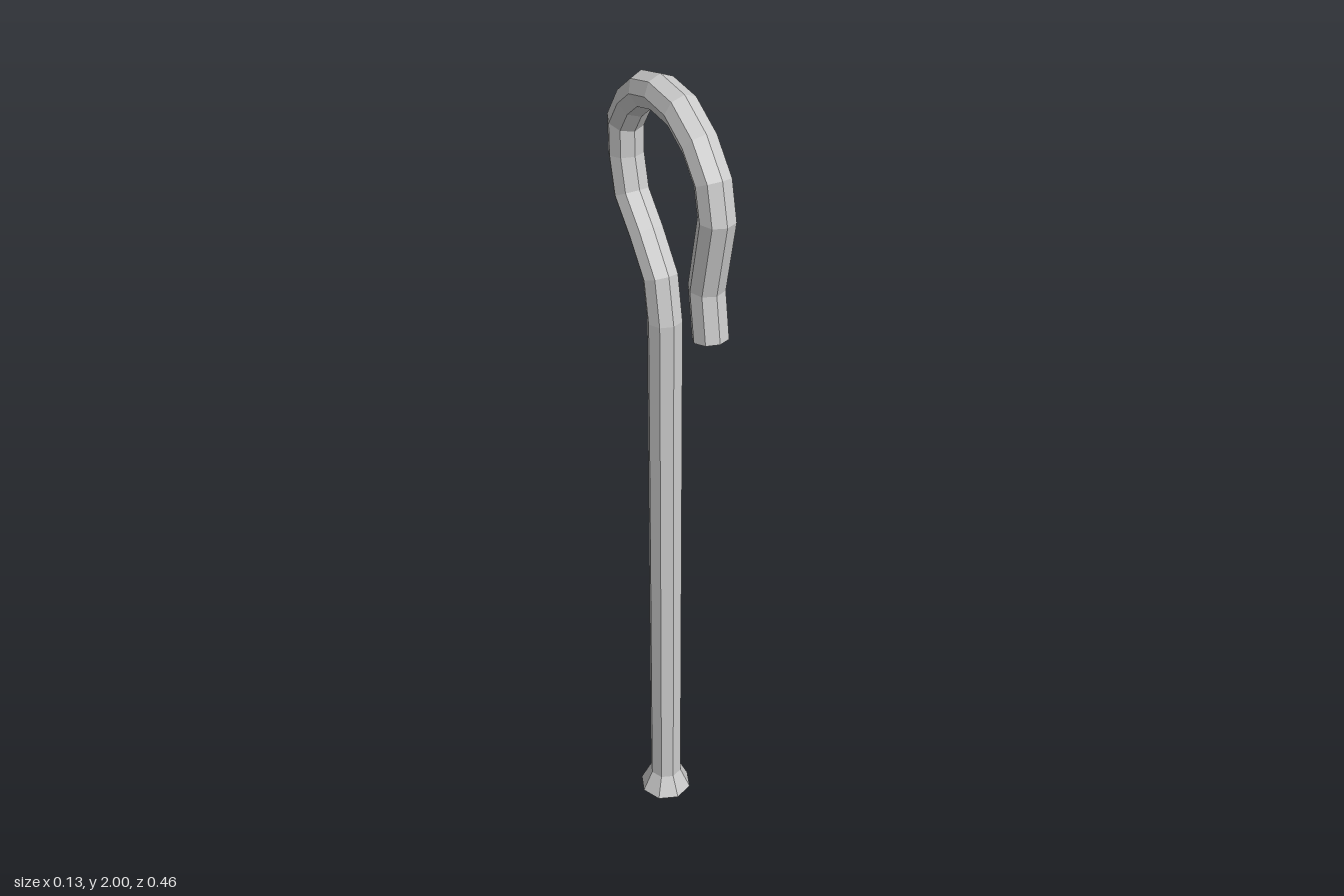
import * as THREE from 'three';

const SIDES = 8;
const RADIUS = 0.04;
const SHAFT_Z = -0.023;

// Centre line of the staff as [z, y], from the foot up and round the crook
const PATH = [
  [SHAFT_Z, 0.055], [SHAFT_Z, 1.43], [-0.042, 1.53], [-0.103, 1.607], [-0.168, 1.675],
  [-0.19, 1.76], [-0.191, 1.835], [-0.151, 1.897], [-0.1, 1.94], [-0.034, 1.96],
  [0.047, 1.955], [0.119, 1.915], [0.172, 1.855], [0.19, 1.78], [0.154, 1.606], [0.172, 1.492],
].map(([z, y]) => new THREE.Vector2(z, y));

// Octagonal sweep along a path in the yz plane, with mitred bends and closed ends
function sweep(path, radius) {
  const positions = [];
  const index = [];
  const last = path.length - 1;
  path.forEach((p, i) => {
    const before = p.clone().sub(path[Math.max(i - 1, 0)]).normalize();
    const after = path[Math.min(i + 1, last)].clone().sub(p).normalize();
    const tangent = before.clone().add(after).normalize();
    const miter = 1 / tangent.dot(i < last ? after : before);
    for (let k = 0; k < SIDES; k++) {
      const a = (k / SIDES) * Math.PI * 2;
      const side = Math.sin(a) * radius * miter;
      positions.push(Math.cos(a) * radius, p.y - tangent.x * side, p.x + tangent.y * side);
    }
  });
  for (let i = 0; i < last; i++) {
    for (let k = 0; k < SIDES; k++) {
      const a = i * SIDES + k;
      const b = i * SIDES + ((k + 1) % SIDES);
      index.push(a, a + SIDES, b, b, a + SIDES, b + SIDES);
    }
  }
  // End caps
  const end = last * SIDES;
  for (let k = 1; k < SIDES - 1; k++) {
    index.push(0, k, k + 1);
    index.push(end, end + k + 1, end + k);
  }
  const indexed = new THREE.BufferGeometry();
  indexed.setAttribute('position', new THREE.Float32BufferAttribute(positions, 3));
  indexed.setIndex(index);
  const geometry = indexed.toNonIndexed();
  geometry.computeVertexNormals();
  return geometry;
}

export function createModel() {
  const group = new THREE.Group();
  group.name = 'crook';
  const material = new THREE.MeshStandardMaterial({ color: 0xcccccc, flatShading: true });

  // Straight shaft and curled hook in one piece
  const staff = new THREE.Mesh(sweep(PATH, RADIUS), material);
  staff.name = 'staff';
  group.add(staff);

  // Flared foot
  const foot = new THREE.Mesh(new THREE.CylinderGeometry(RADIUS, 0.065, 0.055, SIDES), material);
  foot.name = 'foot';
  foot.position.set(0, 0.0275, SHAFT_Z);
  group.add(foot);

  return group;
}
